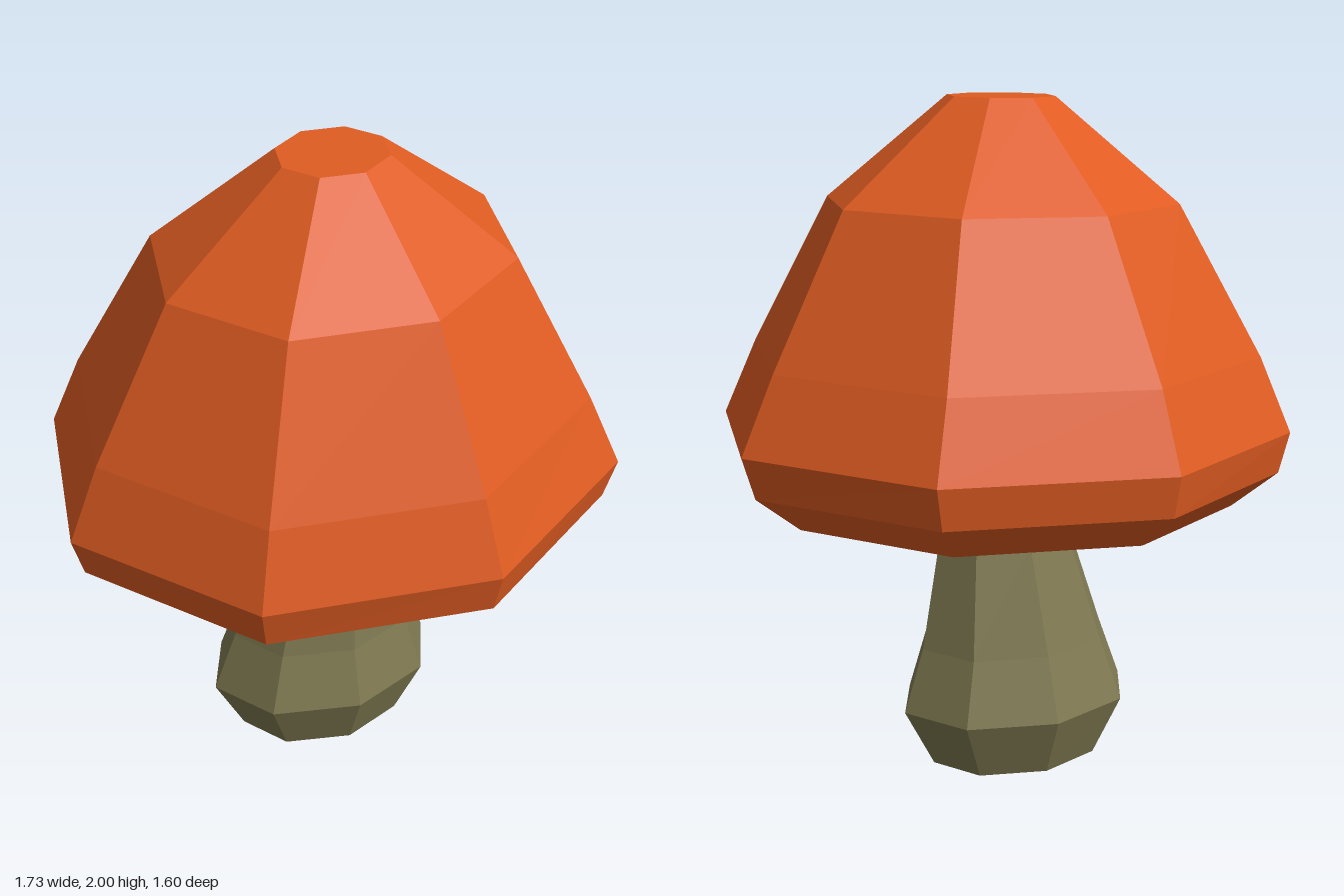
import * as THREE from 'three';

const SIDES = 8;

// Closed faceted body from elliptical rings, bottom to top: [y, centreX, centreZ, radiusX, radiusZ]
function loft(name, rings, color, turn = 0, tiltX = 0, tiltZ = 0) {
  const pos = [], index = [];
  for (const [y, cx, cz, rx, rz] of rings) {
    for (let i = 0; i < SIDES; i++) {
      const a = turn + (i / SIDES) * Math.PI * 2;
      const x = cx + rx * Math.cos(a), z = cz + rz * Math.sin(a);
      pos.push(x, y + tiltX * x + tiltZ * z, z);
    }
  }
  // side walls
  for (let r = 0; r < rings.length - 1; r++) {
    for (let i = 0; i < SIDES; i++) {
      const j = (i + 1) % SIDES, lo = r * SIDES, hi = lo + SIDES;
      index.push(lo + i, hi + i, lo + j, lo + j, hi + i, hi + j);
    }
  }
  // flat bottom and top
  const top = (rings.length - 1) * SIDES;
  for (let i = 1; i < SIDES - 1; i++) {
    index.push(0, i, i + 1, top, top + i + 1, top + i);
  }
  const geo = new THREE.BufferGeometry();
  geo.setAttribute('position', new THREE.Float32BufferAttribute(pos, 3));
  geo.setIndex(index);
  const flat = geo.toNonIndexed();
  flat.computeVertexNormals();
  const mesh = new THREE.Mesh(flat, new THREE.MeshStandardMaterial({ color, flatShading: true }));
  mesh.name = name;
  return mesh;
}

export function createModel() {
  const group = new THREE.Group();
  group.name = 'mushroom';

  // Bulbous stem, its top tucked into the cap
  group.add(loft('stem', [
    [0, -0.015, -0.047, 0.275, 0.212],
    [0.18, -0.015, -0.047, 0.37, 0.283],
    [0.37, -0.013, -0.04, 0.303, 0.23],
    [0.69, 0.003, -0.016, 0.219, 0.17],
    [0.84, 0.003, -0.01, 0.212, 0.2],
  ], 0x807a52));

  // Slightly tilted domed cap with a bevelled rim
  group.add(loft('cap', [
    [0.802, 0, -0.01, 0.7, 0.645],
    [0.91, 0, -0.005, 0.838, 0.782],
    [1.032, 0, 0, 0.875, 0.81],
    [1.255, -0.008, 0.01, 0.775, 0.725],
    [1.695, -0.01, 0.027, 0.535, 0.49],
    [1.996, -0.02, 0.05, 0.163, 0.152],
  ], 0xe05c22, THREE.MathUtils.degToRad(-8), 0.025, -0.027));

  return group;
}
